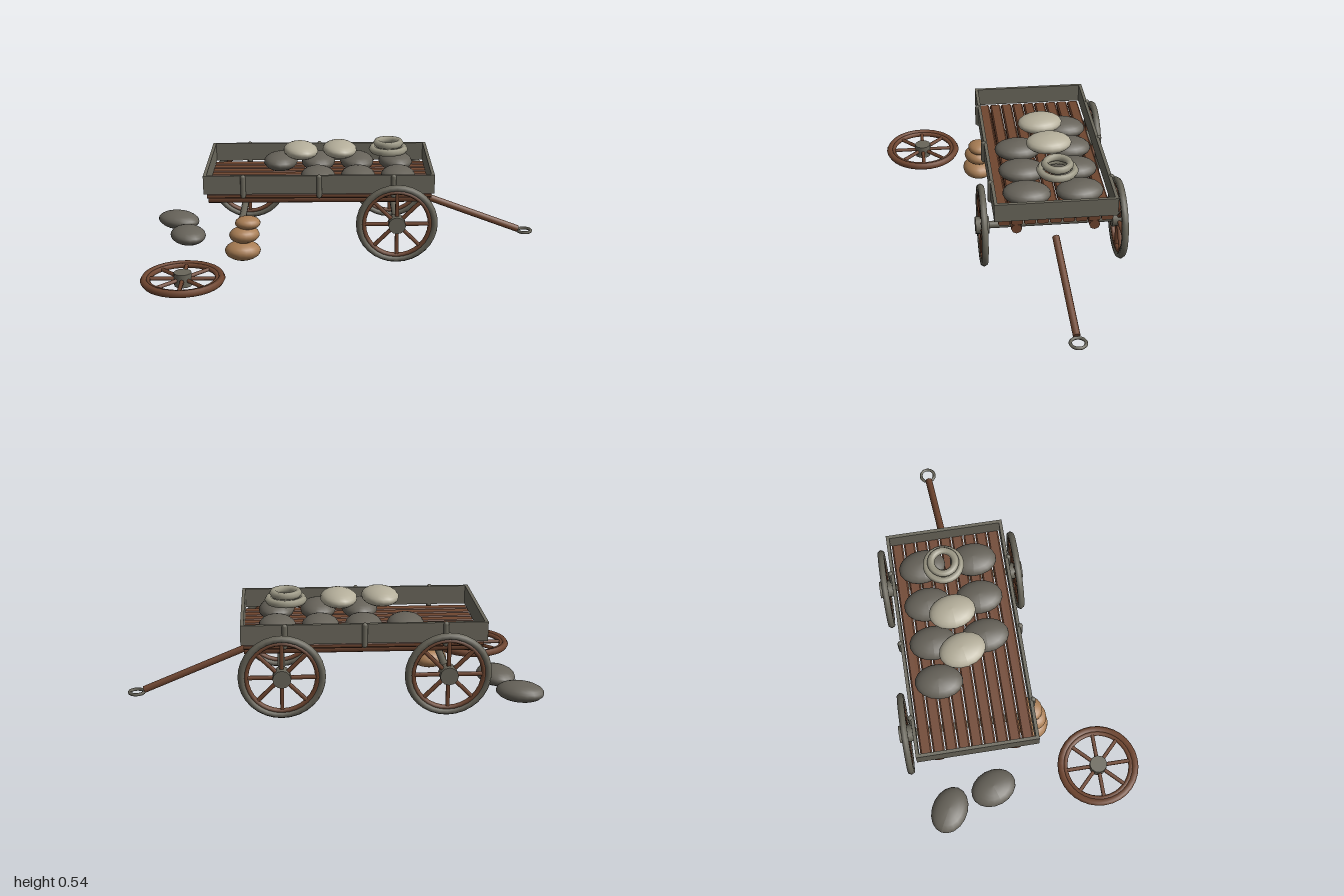
import * as THREE from 'three';

const mat = (name, color) => {
  const m = new THREE.MeshStandardMaterial({ color });
  m.name = name;
  return m;
};

export function createModel() {
  const root = new THREE.Group();
  root.name = 'stoneCart';
  const wood = mat('brownWood', 0x704630);
  const iron = mat('weatheredIron', 0x69665a);
  const boards = mat('greyBoards', 0x6c695d);
  const darkStone = mat('darkStone', 0x67635a);
  const paleStone = mat('paleStone', 0xb5af9b);
  const tanStone = mat('tanStone', 0xa87d54);
  const rope = mat('paleCoil', 0x9f9b88);
  const MID = -0.213; // cart centre line in z

  const add = (parent, name, geo, material, x = 0, y = 0, z = 0) => {
    const m = new THREE.Mesh(geo, material);
    m.name = name;
    m.position.set(x, y, z);
    parent.add(m);
    return m;
  };

  // Bar between two points
  const bar = (parent, name, a, b, r, sides, material) => {
    const A = new THREE.Vector3(...a), B = new THREE.Vector3(...b);
    const dir = B.clone().sub(A);
    const m = add(parent, name, new THREE.CylinderGeometry(r, r, dir.length(), sides), material);
    m.position.copy(A).add(B).multiplyScalar(0.5);
    m.quaternion.setFromUnitVectors(new THREE.Vector3(0, 1, 0), dir.normalize());
    return m;
  };

  // Cargo bed: planks with chamfered edges running along x
  const bed = new THREE.Group();
  bed.name = 'cartBed';
  root.add(bed);
  const w = 0.028, h = 0.0135, c = 0.007;
  const profile = new THREE.Shape([
    [-w, -h + c], [-w + c, -h], [w - c, -h], [w, -h + c],
    [w, h - c], [w - c, h], [-w + c, h], [-w, h - c],
  ].map(p => new THREE.Vector2(...p)));
  const plankGeo = new THREE.ExtrudeGeometry(profile, { depth: 1.115, bevelEnabled: false });
  plankGeo.rotateY(Math.PI / 2);
  for (let i = 0; i < 9; i++) {
    add(bed, 'floorPlank', plankGeo, wood, -0.687, 0.34, MID + (i - 4) * 0.0612);
  }
  for (const s of [-1, 1]) {
    // Long beams under the floor
    bar(bed, 'underBeam', [-0.687, 0.303, MID + s * 0.186], [0.428, 0.303, MID + s * 0.186], 0.026, 8, wood);
    // Side and end boards
    add(bed, 'sideBoard', new THREE.BoxGeometry(1.13, 0.094, 0.016), boards, -0.13, 0.405, MID + s * 0.285);
    add(bed, 'endBoard', new THREE.BoxGeometry(0.016, 0.094, 0.586), boards, -0.13 + s * 0.563, 0.405, MID);
    // Upright posts on the sides
    for (const x of [-0.505, -0.13, 0.238]) {
      add(bed, 'sidePost', new THREE.CapsuleGeometry(0.013, 0.097, 3, 8), boards, x, 0.397, MID + s * 0.294);
    }
  }

  // Spoked wheel in the xy plane
  const wheel = (name, tyreMaterial) => {
    const g = new THREE.Group();
    g.name = name;
    root.add(g);
    add(g, 'tyre', new THREE.TorusGeometry(0.185, 0.018, 6, 32), tyreMaterial);
    add(g, 'innerRim', new THREE.TorusGeometry(0.165, 0.012, 6, 32), wood);
    add(g, 'hub', new THREE.CylinderGeometry(0.043, 0.043, 0.066, 12), iron).rotation.x = Math.PI / 2;
    for (let i = 0; i < 8; i++) {
      const a = i * Math.PI / 4, dx = Math.cos(a), dy = Math.sin(a);
      bar(g, 'spoke', [dx * 0.03, dy * 0.03, 0], [dx * 0.168, dy * 0.168, 0], 0.0105, 6, wood);
    }
    return g;
  };
  wheel('frontLeftWheel', iron).position.set(0.254, 0.214, 0.123);
  wheel('frontRightWheel', iron).position.set(0.254, 0.214, -0.547);
  wheel('rearWheel', iron).position.set(-0.516, 0.214, -0.547);
  const fallen = wheel('fallenWheel', wood);
  fallen.position.set(-0.783, 0.035, 0.376);
  fallen.rotation.x = -Math.PI / 2;

  // Axles
  bar(root, 'frontAxle', [0.254, 0.214, -0.55], [0.254, 0.214, 0.125], 0.018, 10, iron);
  bar(root, 'rearAxle', [-0.516, 0.214, -0.55], [-0.516, 0.214, 0.1], 0.018, 10, iron);

  // Draw pole with its ring
  bar(root, 'drawPole', [0.425, 0.242, -0.215], [0.92, 0.046, -0.246], 0.018, 8, wood);
  add(root, 'poleRing', new THREE.TorusGeometry(0.036, 0.008, 6, 20), iron, 0.956, 0.035, -0.248)
    .rotation.x = Math.PI / 2;

  // Slightly lopsided boulder
  const stoneGeo = new THREE.SphereGeometry(1, 18, 12);
  const pos = stoneGeo.attributes.position;
  for (let i = 0; i < pos.count; i++) {
    const x = pos.getX(i), y = pos.getY(i), z = pos.getZ(i);
    const k = 1 + 0.06 * y * z - 0.04 * x * y;
    pos.setXYZ(i, x * k, y, z * k);
  }
  stoneGeo.computeVertexNormals();
  const stone = (name, material, p, s, yaw = 0, roll = 0) => {
    const m = add(root, name, stoneGeo, material, ...p);
    m.scale.set(...s);
    m.rotation.set(roll, yaw, 0);
  };

  // Stones loaded in two rows
  const size = [0.088, 0.046, 0.117];
  [-0.334, -0.136, 0.067, 0.27].forEach((x, i) => {
    stone('loadedStone', darkStone, [x, 0.398, -0.348], size, -0.12 + 0.08 * i);
    if (i) stone('loadedStone', darkStone, [x, 0.398, -0.092], size, 0.1 - 0.06 * i);
  });
  // Pale stones on top
  stone('topStone', paleStone, [-0.225, 0.496, -0.215], [0.088, 0.043, 0.115], 0.2);
  stone('topStone', paleStone, [-0.025, 0.496, -0.235], [0.088, 0.043, 0.115], 0.1);
  // Stones propping the rear axle
  stone('propStone', tanStone, [-0.515, 0.063, 0.083], [0.09, 0.049, 0.08], 0.1);
  stone('propStone', tanStone, [-0.505, 0.148, 0.085], [0.077, 0.042, 0.068], 0.4);
  stone('propStone', tanStone, [-0.487, 0.208, 0.078], [0.064, 0.033, 0.058], 0.2);
  // Stones fallen behind the cart
  stone('groundStone', darkStone, [-0.892, 0.056, -0.39], [0.118, 0.046, 0.088], -0.5);
  stone('groundStone', darkStone, [-0.817, 0.055, -0.16], [0.09, 0.045, 0.115], 0.35);

  // Coil of two stacked rings
  const coil = new THREE.Group();
  coil.name = 'coil';
  root.add(coil);
  for (const [R, y] of [[0.083, 0.494], [0.06, 0.526]]) {
    add(coil, 'coilRing', new THREE.TorusGeometry(R, 0.0185, 6, 24), rope, 0.227, y, -0.243)
      .rotation.x = Math.PI / 2;
  }
  return root;
}
